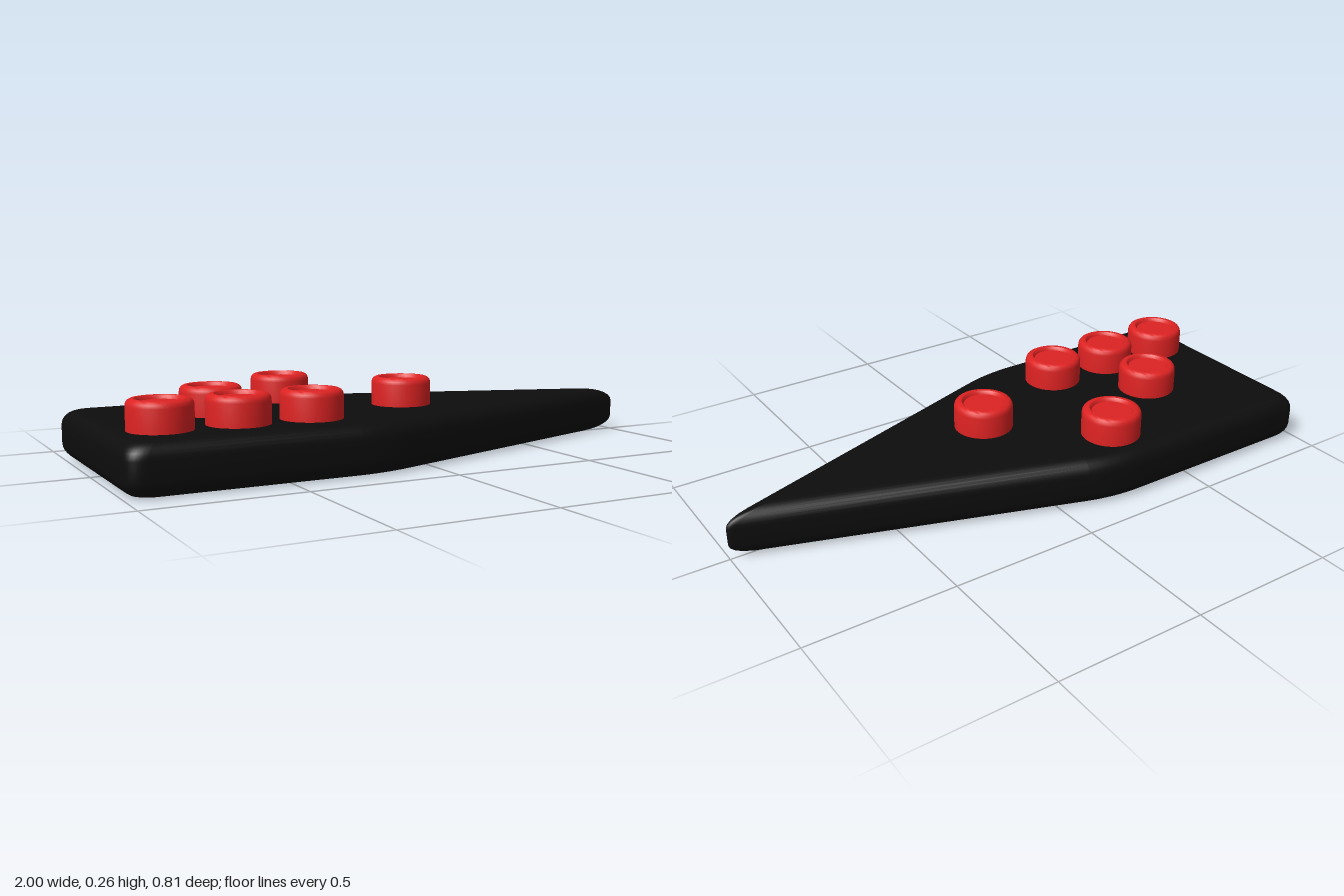
import * as THREE from 'three';
import { toCreasedNormals } from 'three/addons/utils/BufferGeometryUtils.js';

const HEIGHT = 0.162, BEVEL = 0.052;

// Plan corners (x, z), counter-clockwise seen from above, with corner cut lengths
const corners = [[1.022, 0], [-0.18, -0.407], [-1, -0.407], [-1, 0.407], [-0.18, 0.407]]
  .map(([x, z]) => new THREE.Vector2(x, z));
const cuts = [0.045, 0.1, 0.06, 0.06, 0.1];

// Plan outline moved inwards by d, with mitred and then rounded corners
function outline(d) {
  const n = corners.length;
  const inward = corners.map((p, i) => {
    const t = corners[(i + 1) % n].clone().sub(p).normalize();
    return new THREE.Vector2(t.y, -t.x);
  });
  const inset = corners.map((p, i) => {
    const a = inward[(i + n - 1) % n], b = inward[i];
    return a.clone().add(b).multiplyScalar(d / (1 + a.dot(b))).add(p);
  });
  return inset.flatMap((p, i) => {
    const toward = (q) => q.clone().sub(p).setLength(cuts[i]).add(p);
    const before = toward(inset[(i + n - 1) % n]), after = toward(inset[(i + 1) % n]);
    return new THREE.QuadraticBezierCurve(before, p, after).getPoints(8);
  });
}

// Body skin: stacked outlines that follow a rounded edge, closed by flat caps
function bodyGeometry() {
  const steps = 7, levels = [];
  for (let i = 0; i <= steps; i++) {
    const a = (i / steps) * Math.PI / 2;
    levels.push([BEVEL * (1 - Math.sin(a)), BEVEL * (1 - Math.cos(a))]);
  }
  for (const [d, y] of levels.slice().reverse()) levels.push([d, HEIGHT - y]);

  const positions = [], index = [];
  let count = 0;
  for (const [d, y] of levels) {
    const ring = outline(d);
    count = ring.length;
    for (const p of ring) positions.push(p.x, y, p.y);
  }
  const last = (levels.length - 1) * count, bottom = levels.length * count, top = bottom + 1;
  positions.push(-0.4, 0, 0, -0.4, HEIGHT, 0);
  for (let i = 0; i < count; i++) {
    const j = (i + 1) % count;
    for (let k = 0; k < last; k += count) {
      index.push(k + i, k + j, k + count + j, k + i, k + count + j, k + count + i);
    }
    index.push(bottom, j, i, top, last + i, last + j);
  }
  const g = new THREE.BufferGeometry();
  g.setAttribute('position', new THREE.Float32BufferAttribute(positions, 3));
  g.setIndex(index);
  return toCreasedNormals(g, 0.6);
}

// Round button with softened rim and a shallow dish on top
function buttonGeometry() {
  const profile = [
    [0.1, 0], [0.1, 0.075], [0.098, 0.085], [0.093, 0.092], [0.085, 0.096],
    [0.074, 0.096], [0.07, 0.092], [0.067, 0.084], [0, 0.084],
  ].map(([r, y]) => new THREE.Vector2(r, y));
  return toCreasedNormals(new THREE.LatheGeometry(profile, 40), 0.7);
}

export function createModel() {
  const black = new THREE.MeshStandardMaterial({ color: 0x0d0d0d });
  black.name = 'black';
  const red = new THREE.MeshStandardMaterial({ color: 0xdd2222 });
  red.name = 'red';

  const model = new THREE.Group();
  model.name = 'pointedController';

  const body = new THREE.Mesh(bodyGeometry(), black);
  body.name = 'body';
  model.add(body);

  // Buttons: a row of three, one above it, and two towards the point
  const buttons = new THREE.Group();
  buttons.name = 'buttons';
  const shape = buttonGeometry();
  const spots = [[-0.84, 0.2], [-0.597, 0.2], [-0.355, 0.2], [-0.597, -0.043], [-0.272, -0.244], [0.053, 0.04]];
  spots.forEach(([x, z], i) => {
    const button = new THREE.Mesh(shape, red);
    button.name = `button${i + 1}`;
    button.position.set(x, HEIGHT - 0.002, z);
    buttons.add(button);
  });
  model.add(buttons);
  return model;
}
